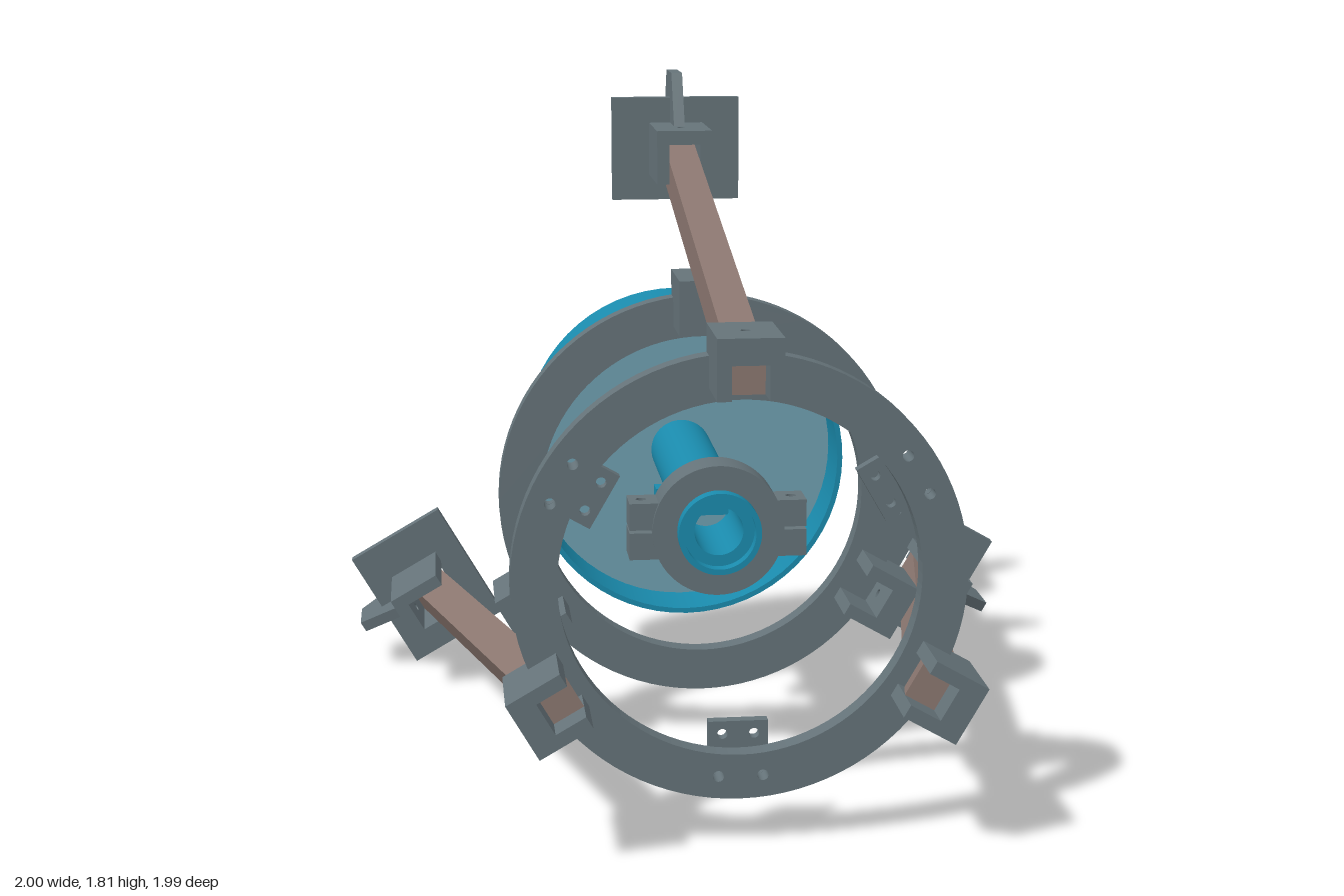
import * as THREE from 'three';

const mat = (color) => new THREE.MeshStandardMaterial({ color });
const grey = mat(0x657379), wood = mat(0x8b7770), blue = mat(0x1a8bad), pale = mat(0x6f9fb0);
const AXIS_Y = 0.69;

function add(parent, name, geometry, material, x = 0, y = 0, z = 0) {
  const mesh = new THREE.Mesh(geometry, material);
  mesh.name = name;
  mesh.position.set(x, y, z);
  parent.add(mesh);
  return mesh;
}

// box given by its extents
function block(parent, name, x0, x1, y0, y1, z0, z1, material = grey) {
  return add(parent, name, new THREE.BoxGeometry(x1 - x0, y1 - y0, z1 - z0), material,
    (x0 + x1) / 2, (y0 + y1) / 2, (z0 + z1) / 2);
}

function rectangle(x0, x1, y0, y1) {
  return new THREE.Shape([[x0, y0], [x1, y0], [x1, y1], [x0, y1]].map(([x, y]) => new THREE.Vector2(x, y)));
}

function drill(shape, x, y, r) {
  shape.holes.push(new THREE.Path().absarc(x, y, r, 0, Math.PI * 2, true));
}

const extrude = (shape, depth, curveSegments = 12) =>
  new THREE.ExtrudeGeometry(shape, { depth, bevelEnabled: false, curveSegments });

// turned part along z: straight segments keep sharp edges, points are [radius, z]
function turned(parent, name, points, material) {
  const group = new THREE.Group();
  group.name = name;
  for (let i = 0; i + 1 < points.length; i++) {
    const pair = [points[i], points[i + 1]].map(([r, z]) => new THREE.Vector2(r, z));
    const g = new THREE.LatheGeometry(pair, 64);
    g.rotateX(Math.PI / 2);
    add(group, name + 'Face', g, material);
  }
  parent.add(group);
}

// ring with pairs of screw holes between the brackets
function ring(parent, name, z, drilled) {
  const shape = new THREE.Shape().absarc(0, 0, 0.565, 0, Math.PI * 2);
  drill(shape, 0, 0, 0.45);
  if (drilled) for (let i = 0; i < 3; i++) for (const s of [-1, 1]) {
    const a = -Math.PI / 2 + i * Math.PI * 2 / 3 + s * 0.11;
    drill(shape, 0.508 * Math.cos(a), 0.508 * Math.sin(a), 0.014);
  }
  add(parent, name, extrude(shape, 0.055, 48), grey, 0, 0, z);
}

// channel bracket, open towards the axis and at both ends
function bracket(parent, name, y0, y1, z0, z1, roof) {
  const group = new THREE.Group();
  group.name = name;
  for (const s of [-1, 1]) block(group, 'bracketCheek', s * 0.0625 - 0.0175, s * 0.0625 + 0.0175, y0, y1, z0, z1);
  const top = rectangle(-0.045, 0.045, -z1, -z0);
  drill(top, 0, -z1 + 0.11, 0.012);
  const g = extrude(top, roof);
  g.rotateX(-Math.PI / 2);
  add(group, 'bracketRoof', g, grey, 0, y1 - roof, 0);
  parent.add(group);
}

// one of three struts with its brackets and foot, built pointing straight up
function strutAssembly() {
  const arm = new THREE.Group();
  arm.name = 'strutAssembly';
  bracket(arm, 'frontBracket', 0.48, 0.63, 0.775, 1.0, 0.065);
  bracket(arm, 'rearBracket', 0.48, 0.63, -0.095, 0.13, 0.065);
  bracket(arm, 'footBracket', 0.815, 0.97, -0.77, -0.5, 0.04);

  // sloping wooden bar
  const bar = new THREE.Shape([[-0.92, 0.48], [0.8, 0.842], [0.815, 0.85], [0.795, 0.945], [-0.92, 0.58]]
    .map(([z, y]) => new THREE.Vector2(z, y)));
  const g = extrude(bar, 0.09);
  g.rotateY(Math.PI / 2);
  add(arm, 'strut', g, wood, -0.045, 0, 0);

  // square foot plate with a window for the bar, and a raised rim behind
  const plate = rectangle(-0.19, 0.19, 0.74, 1.045);
  plate.holes.push(rectangle(-0.045, 0.045, 0.825, 0.935));
  add(arm, 'footPlate', extrude(plate, 0.02), grey, 0, 0, -0.79);
  const rim = rectangle(-0.19, 0.19, 0.74, 1.045);
  rim.holes.push(rectangle(-0.165, 0.165, 0.765, 1.02));
  add(arm, 'footRim', extrude(rim, 0.015), grey, 0, 0, -0.805);

  // upright fin passing through the plate
  const fin = new THREE.Shape([[0.65, 0.965], [0.79, 0.92], [0.99, 0.897], [0.88, 1.12], [0.73, 1.12]]
    .map(([z, y]) => new THREE.Vector2(z, y)));
  const f = extrude(fin, 0.032);
  f.rotateY(Math.PI / 2);
  add(arm, 'footFin', f, grey, -0.016, 0, 0);
  return arm;
}

export function createModel() {
  const root = new THREE.Group();
  root.name = 'tripodFrame';
  const model = new THREE.Group();
  model.name = 'assembly';
  model.position.y = AXIS_Y;
  root.add(model);

  ring(model, 'frontRing', 0.775, true);
  ring(model, 'rearRing', -0.095, false);

  for (let i = 0; i < 3; i++) {
    const arm = strutAssembly();
    arm.rotation.z = i * Math.PI * 2 / 3;
    model.add(arm);

    // drilled tab behind the front ring, opposite each strut
    const tab = rectangle(-0.075, 0.075, -0.53, -0.38);
    for (const s of [-1, 1]) {
      drill(tab, s * 0.04, -0.413, 0.013);
      drill(tab, s * 0.055, -0.505, 0.014);
    }
    const mesh = add(model, 'ringTab', extrude(tab, 0.03), grey, 0, 0, 0.747);
    mesh.rotation.z = i * Math.PI * 2 / 3;
  }

  // drum: open at the front, with a thin seam groove around it
  turned(model, 'drum', [[0, -0.8], [0.465, -0.8], [0.465, -0.626], [0.455, -0.626], [0.455, -0.616],
    [0.465, -0.616], [0.465, -0.455], [0.45, -0.455], [0.45, -0.625]].reverse().map((p) => p).reverse(), blue);
  add(model, 'drumFloor', new THREE.CircleGeometry(0.452, 64), pale, 0, 0, -0.624);

  // stepped shaft with a bored front end
  turned(model, 'shaft', [[0.09, -0.624], [0.09, 0.035], [0.075, 0.035], [0.075, 0.09], [0.083, 0.09],
    [0.083, 0.185], [0.072, 0.185], [0.072, 0.225], [0.147, 0.225], [0.147, 0.245], [0.11, 0.245],
    [0.11, 0.395], [0.095, 0.395], [0.095, 0.36], [0.065, 0.36], [0.065, 0.05]], blue);
  add(model, 'boreFloor', new THREE.CircleGeometry(0.066, 32), pale, 0, 0, 0.052);
  block(model, 'boreKey', -0.06, 0.06, -0.03, 0.03, 0.05, 0.07, blue);

  // side knobs on the shaft
  for (const s of [-1, 1]) {
    block(model, 'shaftKnob', s * 0.105 - 0.03, s * 0.105 + 0.03, -0.035, 0.035, -0.04, 0.02, blue);
  }

  // clamp collar, with split ears drilled for bolts
  turned(model, 'collar', [[0.11, 0.245], [0.175, 0.245], [0.175, 0.355], [0.11, 0.355]], grey);
  for (const s of [-1, 1]) for (const t of [-1, 1]) {
    const ear = rectangle(s * 0.195 - 0.04, s * 0.195 + 0.04, -0.345, -0.245);
    drill(ear, s * 0.2, -0.292, 0.014);
    const g = extrude(ear, 0.072);
    g.rotateX(-Math.PI / 2);
    add(model, 'collarEar', g, grey, 0, t > 0 ? 0.004 : -0.076, 0);
  }
  return root;
}
